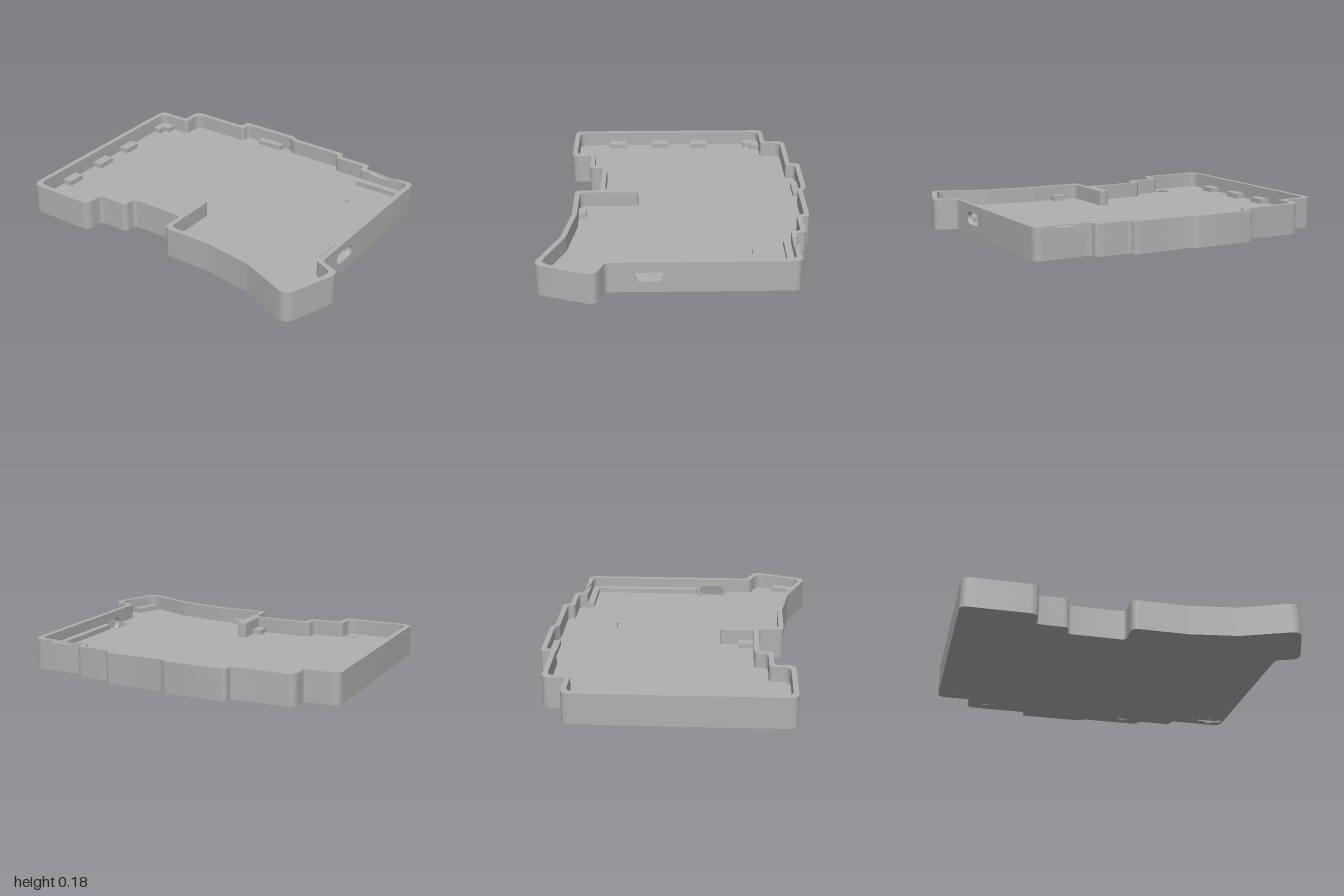
import * as THREE from 'three';
import { toCreasedNormals } from 'three/addons/utils/BufferGeometryUtils.js';

const H = 0.18, FLOOR = 0.09, WALL = 0.03;

// Case outline as [x, z, corner radius], starting and ending at the port gap
const OUTLINE = [
  [0.88, 0.26], [0.88, 0.405, 0.03], [1.015, 0.455, 0.06], [0.89, 0.797, 0.06], [0.57, 0.665, 0.1],
  [0.28, 0.62, 0.1], [-0.04, 0.62, 0.04], [-0.04, 0.47, 0.03], [-0.38, 0.47, 0.03], [-0.38, 0.55, 0.04],
  [-0.57, 0.55, 0.03], [-0.57, 0.67, 0.05], [-1, 0.67, 0.05], [-1, -0.59, 0.05], [-0.8, -0.59, 0.02],
  [-0.8, -0.72, 0.05], [-0.43, -0.72, 0.02], [-0.43, -0.78, 0.04], [-0.06, -0.78, 0.03],
  [-0.02, -0.755, 0.03], [0.33, -0.755, 0.04], [0.34, -0.71, 0.03], [0.545, -0.71, 0.04],
  [0.55, -0.655, 0.02], [0.59, -0.655], [0.61, -0.655], [0.74, -0.655], [0.76, -0.655],
  [0.88, -0.655, 0.05], [0.88, 0.08],
];

const vec = ([x, z]) => new THREE.Vector2(x, z);

// Moves an open path inward by t with mitred corners
function inset(path, t) {
  const normal = (a, b) => {
    const d = vec(b).sub(vec(a)).normalize();
    return new THREE.Vector2(-d.y, d.x);
  };
  return path.map((p, i) => {
    const n1 = normal(path[Math.max(i - 1, 0)], path[Math.max(i, 1)]);
    const last = path.length - 1;
    const n2 = normal(path[Math.min(i, last - 1)], path[Math.min(i + 1, last)]);
    const k = t / (1 + n1.dot(n2));
    return [p[0] + (n1.x + n2.x) * k, p[1] + (n1.y + n2.y) * k, p[2]];
  });
}

// Replaces the corners of an open path by short curves
function rounded(path) {
  const out = [];
  path.forEach((p, i) => {
    const c = vec(p);
    if (!p[2] || i === 0 || i === path.length - 1) return out.push(c);
    const a = vec(path[i - 1]).sub(c), b = vec(path[i + 1]).sub(c);
    const turn = Math.PI - Math.acos(THREE.MathUtils.clamp(a.dot(b) / (a.length() * b.length()), -1, 1));
    const d = Math.min(p[2] * Math.tan(turn / 2), 0.45 * a.length(), 0.45 * b.length());
    const curve = new THREE.QuadraticBezierCurve(a.setLength(d).add(c), c, b.setLength(d).add(c));
    out.push(...curve.getPoints(6));
  });
  return out;
}

const flip = (pts) => pts.map((p) => new THREE.Vector2(p.x, -p.y));
const polygon = (list) => list.map(vec);
const rect = (x0, x1, z0, z1) => polygon([[x0, z0], [x1, z0], [x1, z1], [x0, z1]]);

function circle(x, z, r) {
  return Array.from({ length: 24 }, (_, i) => {
    const a = (i / 24) * Math.PI * 2;
    return new THREE.Vector2(x + r * Math.cos(a), z + r * Math.sin(a));
  });
}

// Round pocket with a slot to both sides
function keyhole(x, z) {
  const r = 0.042, w = 0.02, l = 0.075, a0 = Math.asin(w / r);
  const pts = [];
  for (const s of [0, Math.PI]) {
    const c = Math.cos(s);
    pts.push(new THREE.Vector2(x + c * l, z - c * w), new THREE.Vector2(x + c * l, z + c * w));
    for (let i = 0; i <= 8; i++) {
      const a = s + a0 + ((Math.PI - 2 * a0) * i) / 8;
      pts.push(new THREE.Vector2(x + r * Math.cos(a), z + r * Math.sin(a)));
    }
  }
  return pts;
}

// Horizontal slab from y0 to y1 with holes
function slab(contour, holes, y0, y1) {
  const shape = new THREE.Shape(flip(contour));
  shape.holes = holes.map((h) => new THREE.Path(flip(h)));
  const geo = new THREE.ExtrudeGeometry(shape, { depth: y1 - y0, bevelEnabled: false });
  return geo.rotateX(-Math.PI / 2).translate(0, y0, 0);
}

export function createModel() {
  const group = new THREE.Group();
  const grey = new THREE.MeshStandardMaterial({ color: 0xb0b0b0 });
  grey.name = 'grey plastic';
  const add = (name, geo) => {
    const mesh = new THREE.Mesh(geo, grey);
    mesh.name = name;
    group.add(mesh);
    return mesh;
  };
  const smooth = (geo) => toCreasedNormals(geo, 0.4);
  const box = (name, x0, x1, z0, z1, y1 = 0.12) => {
    const mesh = add(name, new THREE.BoxGeometry(x1 - x0, y1 - FLOOR, z1 - z0));
    mesh.position.set((x0 + x1) / 2, (FLOOR + y1) / 2, (z0 + z1) / 2);
    return mesh;
  };

  const outer = rounded(OUTLINE);
  const inner = rounded(inset(OUTLINE, WALL));
  const screws = [[-0.69, -0.615], [0.22, -0.66], [0.08, 0.25], [0.64, 0.35], [-0.655, 0.535]];
  const screwHoles = (r) => screws.map(([x, z]) => circle(x, z, r));
  const feet = [[0.85, 0.59], [0.79, -0.585], [-0.9, -0.48], [-0.9, 0.6]].map(([x, z]) => keyhole(x, z));

  // Floor in three layers: foot pockets below, battery pit and wire channel above
  add('floorBottom', smooth(slab(outer, [...screwHoles(0.042), ...feet], 0, 0.03)));
  const pits = [rect(-0.61, 0.25, -0.48, 0.07), rect(0.57, 0.74, -0.48, -0.29)];
  add('floorMiddle', smooth(slab(outer, [...screwHoles(0.022), ...feet, ...pits], 0.03, 0.06)));
  const pit = polygon([[-0.61, -0.48], [0.74, -0.48], [0.74, -0.29], [0.57, -0.29],
    [0.57, -0.41], [0.25, -0.41], [0.25, 0.07], [-0.61, 0.07]]);
  const notched = [...outer, ...polygon([[0.775, 0.08], [0.775, 0.26]])];
  add('floorTop', smooth(slab(notched, [...screwHoles(0.04), pit], 0.06, FLOOR)));

  // Outer wall, open at the port, with a slight dip in the back rim
  const wall = slab([...outer, ...inner.slice().reverse()], [], FLOOR, H);
  const pos = wall.attributes.position;
  for (let i = 0; i < pos.count; i++) {
    const x = pos.getX(i);
    if (pos.getY(i) > 0.17 && pos.getZ(i) < -0.6 && pos.getZ(i) > -0.67 && x > 0.6 && x < 0.75) pos.setY(i, 0.168);
  }
  add('outerWall', smooth(wall));

  // Port plate with a rounded slot, filling the gap in the wall
  const plate = new THREE.Shape(polygon([[0.08, 0.06], [0.26, 0.06], [0.26, H], [0.08, H]]));
  const slot = new THREE.Path();
  slot.absarc(0.215, 0.098, 0.035, -Math.PI / 2, Math.PI / 2, false);
  slot.absarc(0.125, 0.098, 0.035, Math.PI / 2, Math.PI * 1.5, false);
  plate.holes.push(slot);
  const port = new THREE.ExtrudeGeometry(plate, { depth: WALL, bevelEnabled: false, curveSegments: 10 });
  add('portPlate', smooth(port.rotateY(-Math.PI / 2).translate(0.88, 0, 0)));

  // Inner divider stub
  const stub = rounded([[-0.0375, 0.455], [-0.065, 0.455], [-0.065, 0.24, 0.012], [-0.01, 0.24, 0.012],
    [-0.01, 0.455], [-0.0375, 0.455]]).slice(0, -1);
  add('dividerStub', smooth(slab(stub, [], FLOOR, H)));

  // Board supports
  for (const [z0, z1] of [[-0.21, -0.1], [0.045, 0.16], [0.33, 0.44]]) box('sideSupport', -0.975, -0.91, z0, z1);
  box('cornerSupport', -0.975, -0.92, -0.57, -0.455);
  box('cornerSupport', -0.92, -0.88, -0.57, -0.5);
  box('backSupport', -0.29, -0.12, -0.755, -0.71);
  box('frontSupport', 0.08, 0.16, 0.545, 0.6);
  box('dividerSupport', -0.12, -0.06, 0.35, 0.445);
  box('backLedge', 0.52, 0.81, -0.63, -0.585);
  box('sideLedge', 0.81, 0.855, -0.63, 0.07);
  const flare = box('flareSupport', 0.858, 0.913, 0.575, 0.745);
  flare.rotation.y = -0.34;

  return group;
}
